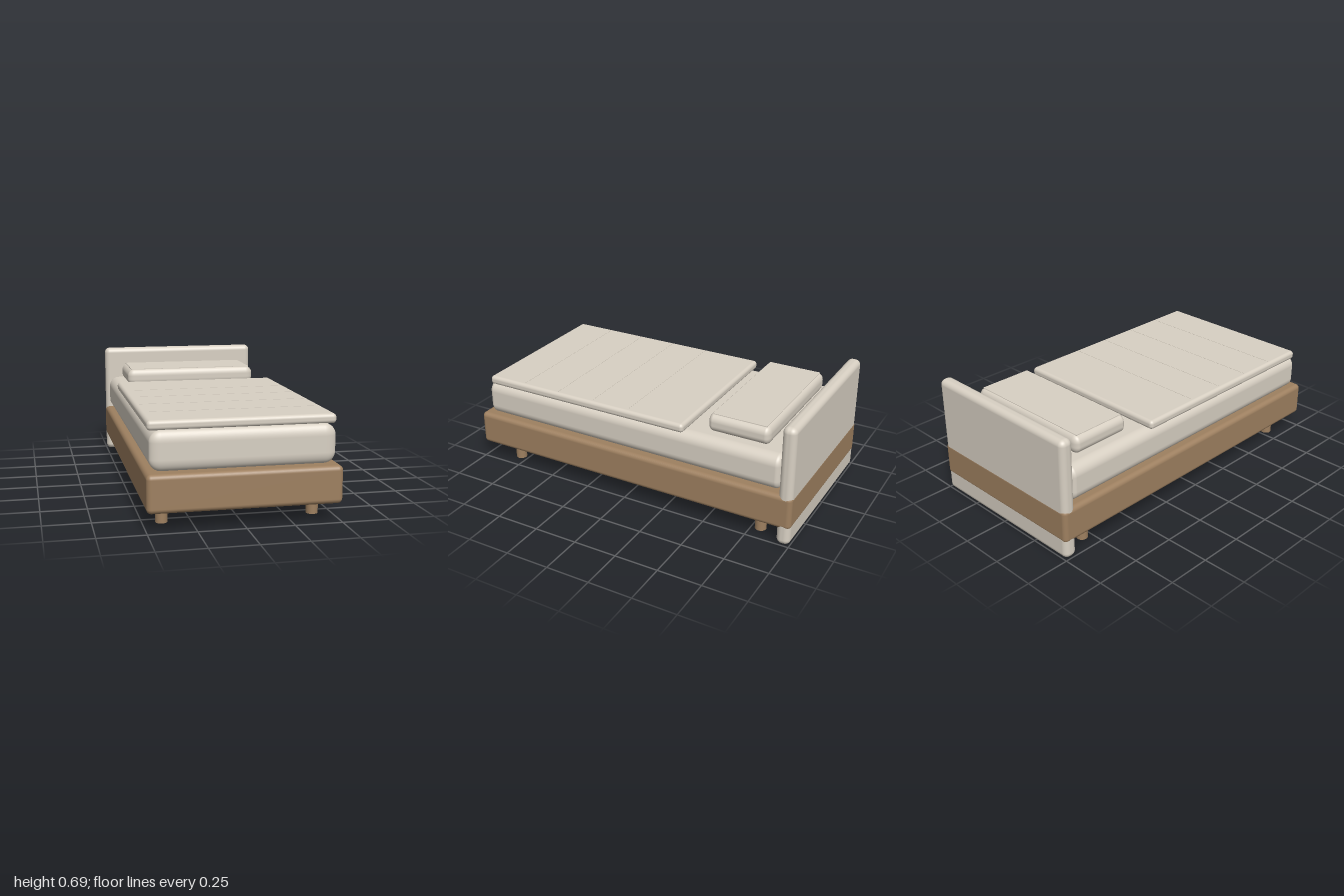
import * as THREE from 'three';
import { RoundedBoxGeometry } from 'three/addons/geometries/RoundedBoxGeometry.js';

export function createModel() {
  const bed = new THREE.Group();
  bed.name = 'bed';
  const fabric = new THREE.MeshStandardMaterial({ name: 'cream fabric', color: 0xd8d0c3 });
  const wood = new THREE.MeshStandardMaterial({ name: 'warm wood', color: 0x9e8060 });

  const add = (name, geometry, material) => {
    const mesh = new THREE.Mesh(geometry, material);
    mesh.name = name;
    bed.add(mesh);
    return mesh;
  };

  // Soft block between two corners; zScale makes the rounding tighter along z
  const block = (name, material, [x, y0, y1, z0, z1], radius, zScale = 1) => {
    const g = new RoundedBoxGeometry(2 * x, y1 - y0, (z1 - z0) / zScale, 6, radius);
    g.scale(1, 1, zScale);
    g.translate(0, (y0 + y1) / 2, (z0 + z1) / 2);
    return add(name, g, material);
  };

  // Frame and headboard; the frame stands a hair proud of the headboard
  block('bedFrame', wood, [0.501, 0.097, 0.295, -1.001, 1], 0.026);
  block('headboard', fabric, [0.5, 0, 0.69, -1, -0.923], 0.032);

  // Bedding
  block('mattress', fabric, [0.478, 0.295, 0.5, -0.925, 0.95], 0.06, 0.6);
  block('blanket', fabric, [0.485, 0.496, 0.547, -0.36, 0.92], 0.02);
  block('pillow', fabric, [0.403, 0.5, 0.604, -0.82, -0.465], 0.042, 0.7);

  // Flat top panel of the pillow
  const panel = add('pillowPanel', new THREE.BoxGeometry(0.76, 0.004, 0.31), fabric);
  panel.position.set(0, 0.604, -0.642);

  // Quilting seams across the blanket
  for (let i = 0; i < 4; i++) {
    const seam = add('blanketSeam', new THREE.BoxGeometry(0.92, 0.003, 0.004), fabric);
    seam.position.set(0, 0.547, -0.01 + i * 0.23);
  }

  // Round legs
  for (const x of [-0.4, 0.4]) {
    for (const z of [-0.8, 0.8]) {
      const leg = add('leg', new THREE.CylinderGeometry(0.032, 0.032, 0.11, 24), wood);
      leg.position.set(x, 0.055, z);
    }
  }
  return bed;
}
